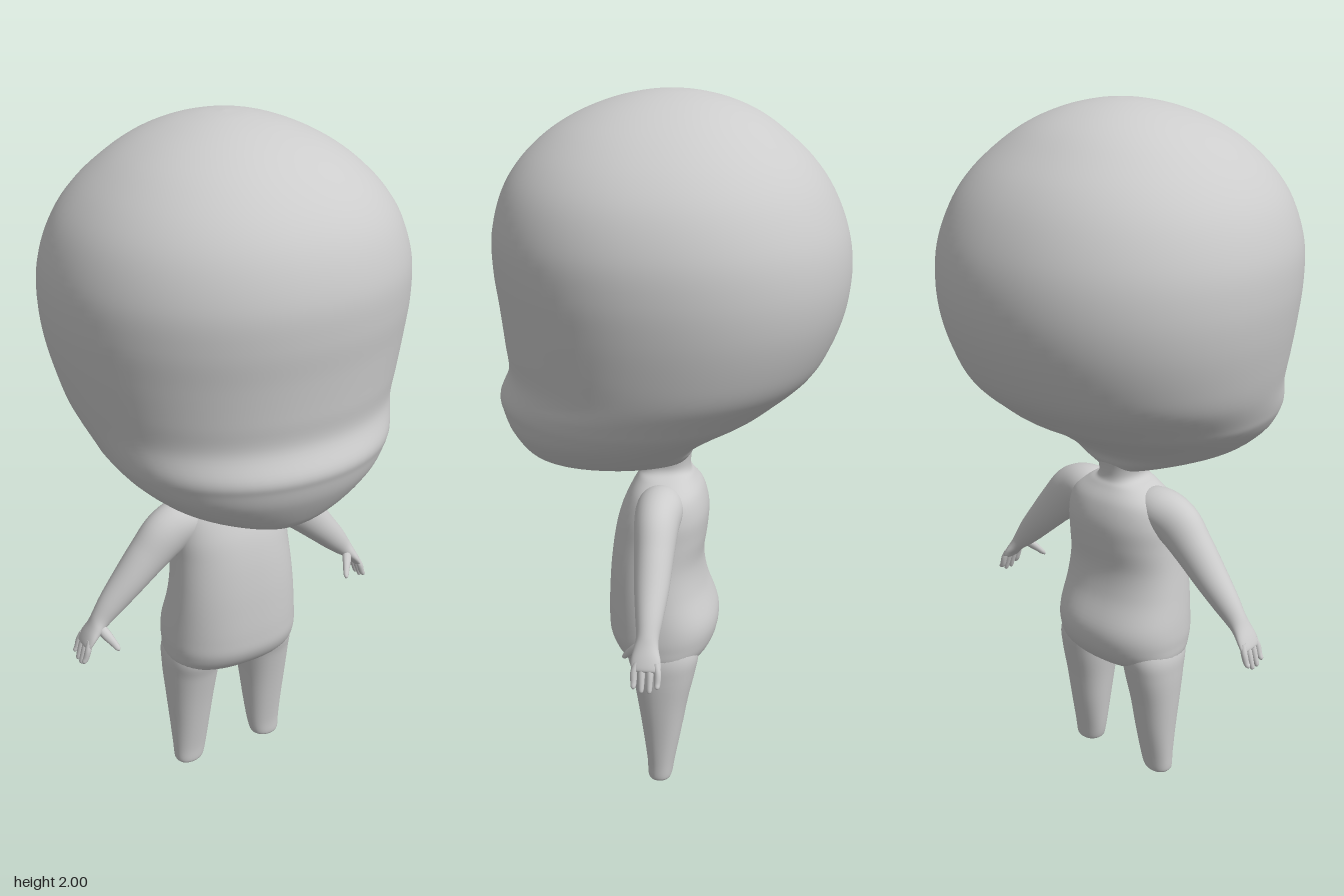
import * as THREE from 'three';

const skin = new THREE.MeshStandardMaterial({ color: 0xcccccc });
skin.name = 'plain grey';

// Smooth skin through oval rings [x, y, z, radiusA, radiusZ].
// Rings lie flat, or turn with the path in the xy plane when "turn" is set.
function loft(name, rings, { turn = false, power = 2, sides = 32, steps = 6 } = {}) {
  const curve = (pick) => new THREE.CatmullRomCurve3(
    rings.map((r) => new THREE.Vector3(...pick(r))), false, 'catmullrom', 0.5);
  const path = curve((r) => [r[0], r[1], r[2]]);
  const size = curve((r) => [r[3], r[4], 0]);
  const n = (rings.length - 1) * steps;
  const pos = [], index = [];
  const bend = (v) => Math.sign(v) * Math.pow(Math.abs(v), 2 / power);
  const ring = (t) => {
    const c = path.getPoint(t), s = size.getPoint(t), d = path.getTangent(t);
    const len = Math.hypot(d.x, d.y) || 1;
    const ux = turn ? d.y / len : 1, uy = turn ? -d.x / len : 0;
    for (let j = 0; j < sides; j++) {
      const a = (j / sides) * Math.PI * 2;
      const u = bend(Math.cos(a)) * s.x, v = bend(Math.sin(a)) * s.y;
      pos.push(c.x + ux * u, c.y + uy * u, c.z + v);
    }
    return c;
  };
  for (let i = 0; i <= n; i++) ring(i / n);
  for (let i = 0; i < n; i++) {
    for (let j = 0; j < sides; j++) {
      const a = i * sides + j, b = i * sides + (j + 1) % sides;
      index.push(a, a + sides, b, b, a + sides, b + sides);
    }
  }
  // Separate end caps keep the rim crisp
  for (const t of [0, 1]) {
    const base = pos.length / 3;
    const c = ring(t);
    pos.push(c.x, c.y, c.z);
    for (let j = 0; j < sides; j++) {
      const a = base + j, b = base + (j + 1) % sides;
      if (t) index.push(base + sides, b, a);
      else index.push(base + sides, a, b);
    }
  }
  const geo = new THREE.BufferGeometry();
  geo.setAttribute('position', new THREE.Float32BufferAttribute(pos, 3));
  geo.setIndex(index);
  geo.computeVertexNormals();
  const mesh = new THREE.Mesh(geo, skin);
  mesh.name = name;
  return mesh;
}

// Upright outline rows [y, halfWidth, zFront, zBack] to rings
const upright = (rows, x = 0) =>
  rows.map(([y, w, f, b]) => [x, y, (f + b) / 2, w, (f - b) / 2]);

function createHead() {
  return loft('head', upright([
    [0.963, 0.03, 0.31, 0.03],
    [0.972, 0.10, 0.35, -0.03],
    [1.00, 0.19, 0.395, -0.055],
    [1.04, 0.275, 0.425, -0.08],
    [1.10, 0.35, 0.458, -0.165],
    [1.15, 0.392, 0.474, -0.255],
    [1.19, 0.412, 0.48, -0.31],
    [1.26, 0.44, 0.452, -0.39],
    [1.34, 0.462, 0.458, -0.438],
    [1.44, 0.482, 0.468, -0.472],
    [1.54, 0.491, 0.48, -0.483],
    [1.64, 0.483, 0.48, -0.47],
    [1.74, 0.448, 0.453, -0.43],
    [1.82, 0.392, 0.405, -0.375],
    [1.89, 0.315, 0.332, -0.30],
    [1.94, 0.235, 0.25, -0.23],
    [1.975, 0.15, 0.16, -0.15],
    [1.994, 0.07, 0.075, -0.07],
    [2.0, 0.004, 0.004, -0.004],
  ]), { power: 2.1, sides: 64 });
}

function createTorso() {
  return loft('torso', upright([
    [0.355, 0.06, 0.06, -0.04],
    [0.365, 0.13, 0.10, -0.07],
    [0.40, 0.195, 0.15, -0.108],
    [0.45, 0.206, 0.18, -0.132],
    [0.51, 0.205, 0.185, -0.134],
    [0.60, 0.195, 0.182, -0.102],
    [0.68, 0.186, 0.176, -0.09],
    [0.76, 0.179, 0.165, -0.10],
    [0.83, 0.174, 0.148, -0.104],
    [0.89, 0.155, 0.122, -0.09],
    [0.93, 0.105, 0.10, -0.065],
    [0.95, 0.07, 0.09, -0.053],
    [0.98, 0.066, 0.09, -0.052],
    [1.03, 0.085, 0.12, -0.06],
  ]), { power: 2.3, sides: 48 });
}

function createLeg() {
  const rows = [
    [0, 0.14, 0.037, 0.053, -0.01],
    [0.012, 0.137, 0.046, 0.057, -0.015],
    [0.06, 0.133, 0.053, 0.06, -0.023],
    [0.15, 0.13, 0.062, 0.072, -0.04],
    [0.25, 0.128, 0.072, 0.087, -0.057],
    [0.35, 0.124, 0.082, 0.105, -0.08],
    [0.42, 0.12, 0.083, 0.12, -0.09],
    [0.50, 0.11, 0.06, 0.10, -0.07],
  ];
  return loft('leg', rows.map(([y, x, w, f, b]) => [x, y, (f + b) / 2, w, (f - b) / 2]),
    { power: 2.2 });
}

function createArm() {
  const arm = new THREE.Group();
  arm.name = 'arm';
  arm.add(loft('armSleeve', [
    [0.06, 0.88, 0.02, 0.04, 0.05],
    [0.13, 0.872, 0.02, 0.064, 0.066],
    [0.195, 0.842, 0.022, 0.072, 0.062],
    [0.255, 0.785, 0.02, 0.062, 0.055],
    [0.32, 0.715, 0.018, 0.05, 0.048],
    [0.375, 0.655, 0.017, 0.04, 0.038],
    [0.41, 0.615, 0.017, 0.03, 0.031],
    [0.43, 0.592, 0.018, 0.022, 0.034],
    [0.45, 0.567, 0.016, 0.016, 0.04],
    [0.464, 0.545, 0.014, 0.011, 0.038],
    [0.467, 0.54, 0.014, 0.003, 0.02],
  ], { turn: true }));
  // Four fingers, front to back
  [0.046, 0.025, 0.003, -0.018].forEach((z, i) => {
    const drop = [0.498, 0.487, 0.487, 0.5][i];
    arm.add(loft('finger', [
      [0.456, 0.565, 0.014 + (z - 0.014) * 0.8, 0.009, 0.009],
      [0.466, 0.54, z, 0.0095, 0.0095],
      [0.474, 0.515, z, 0.0085, 0.0085],
      [0.481, drop + 0.005, z, 0.0065, 0.0065],
      [0.483, drop, z, 0.001, 0.001],
    ], { turn: true, sides: 12, steps: 4 }));
  });
  // Thumb points forward and inward
  arm.add(loft('thumb', [
    [0.425, 0.605, 0.03, 0.014, 0.014],
    [0.412, 0.58, 0.05, 0.015, 0.015],
    [0.398, 0.558, 0.07, 0.011, 0.011],
    [0.39, 0.543, 0.082, 0.008, 0.008],
    [0.387, 0.536, 0.086, 0.001, 0.001],
  ], { turn: true, sides: 12, steps: 4 }));
  return arm;
}

// Reflected copy across x = 0, with faces turned back outward
function mirrored(part) {
  const copy = part.clone(true);
  copy.traverse((o) => {
    if (!o.isMesh) return;
    o.geometry = o.geometry.clone().scale(-1, 1, 1);
    const ix = o.geometry.index.array;
    for (let i = 0; i < ix.length; i += 3) [ix[i], ix[i + 1]] = [ix[i + 1], ix[i]];
    o.geometry.computeVertexNormals();
  });
  return copy;
}

export function createModel() {
  const model = new THREE.Group();
  model.name = 'bigHeadedFigure';
  model.add(createHead(), createTorso());
  for (const [name, part] of [['Arm', createArm()], ['Leg', createLeg()]]) {
    const other = mirrored(part);
    part.name = 'left' + name;
    other.name = 'right' + name;
    model.add(part, other);
  }
  return model;
}
